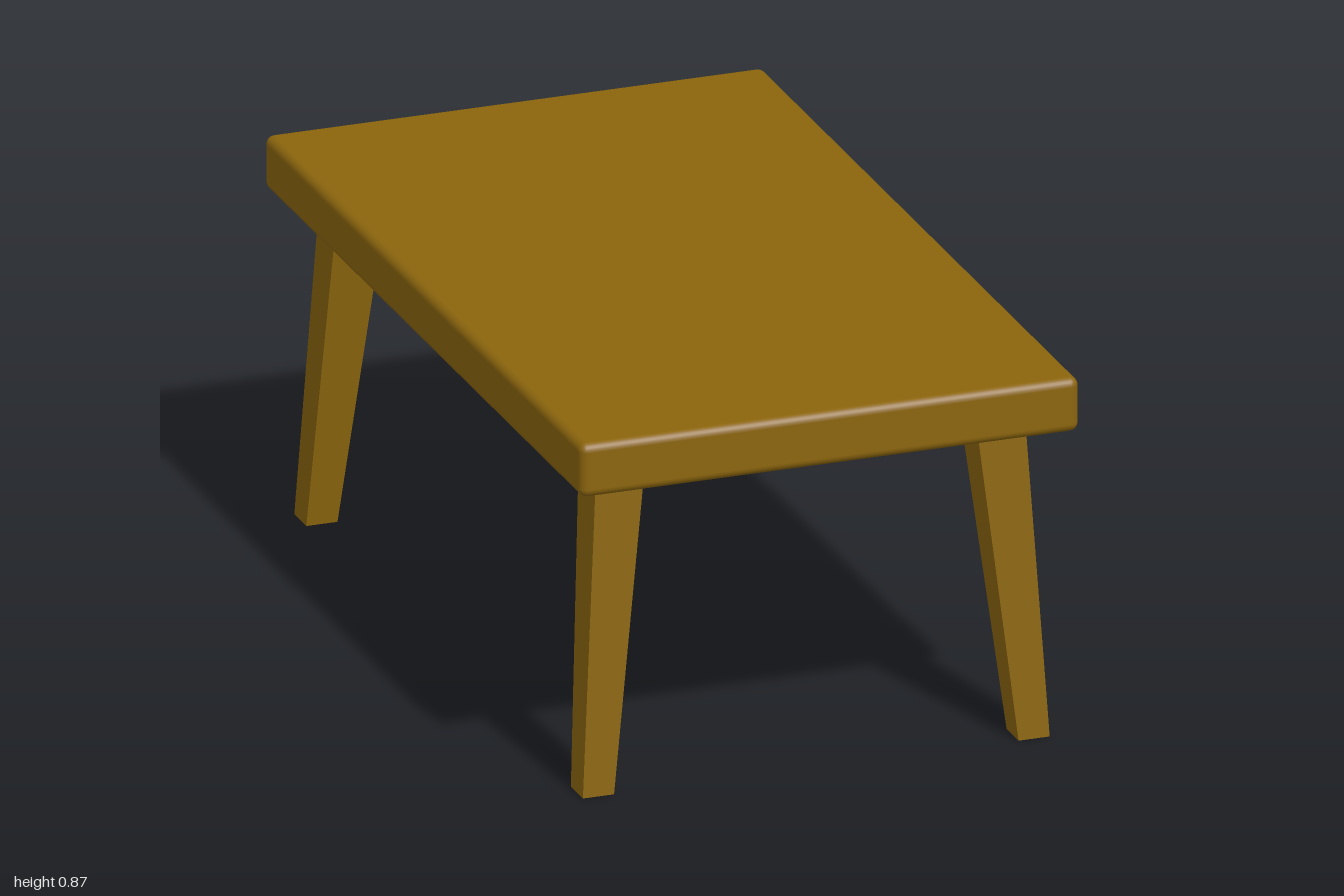
import * as THREE from 'three';
import { RoundedBoxGeometry } from 'three/addons/geometries/RoundedBoxGeometry.js';

const wood = new THREE.MeshStandardMaterial({ color: 0x8b650d });
const UNDERSIDE = 0.745, TOP = 0.872;

// Tapered, splayed leg: a box whose corners follow [centre x, centre z, width, depth] at each end
function legGeometry(top, foot) {
  const height = UNDERSIDE + 0.01;
  const geometry = new THREE.BoxGeometry(1, 1, 1);
  const p = geometry.attributes.position;
  for (let i = 0; i < p.count; i++) {
    const [cx, cz, w, d] = p.getY(i) > 0 ? top : foot;
    p.setXYZ(i, cx + w * p.getX(i), (p.getY(i) + 0.5) * height, cz + d * p.getZ(i));
  }
  geometry.computeVertexNormals();
  return geometry;
}

export function createModel() {
  const group = new THREE.Group();
  group.name = 'table';

  // Slab with softened edges
  const slab = new THREE.Mesh(new RoundedBoxGeometry(1.17, TOP - UNDERSIDE, 2, 3, 0.02), wood);
  slab.name = 'tableTop';
  slab.position.y = (TOP + UNDERSIDE) / 2;
  group.add(slab);

  // Four legs; one diagonal pair sits very slightly further out
  for (const [name, sx, sz] of [['frontLeftLeg', 1, 1], ['frontRightLeg', -1, 1],
    ['backLeftLeg', 1, -1], ['backRightLeg', -1, -1]]) {
    const out = sx * sz > 0 ? 0.004 : -0.004;
    const leg = new THREE.Mesh(legGeometry(
      [sx * (0.443 + out), sz * (0.807 + out), 0.115, 0.11],
      [sx * 0.509, sz * (0.872 + out), 0.073, 0.076]
    ), wood);
    leg.name = name;
    group.add(leg);
  }
  return group;
}
